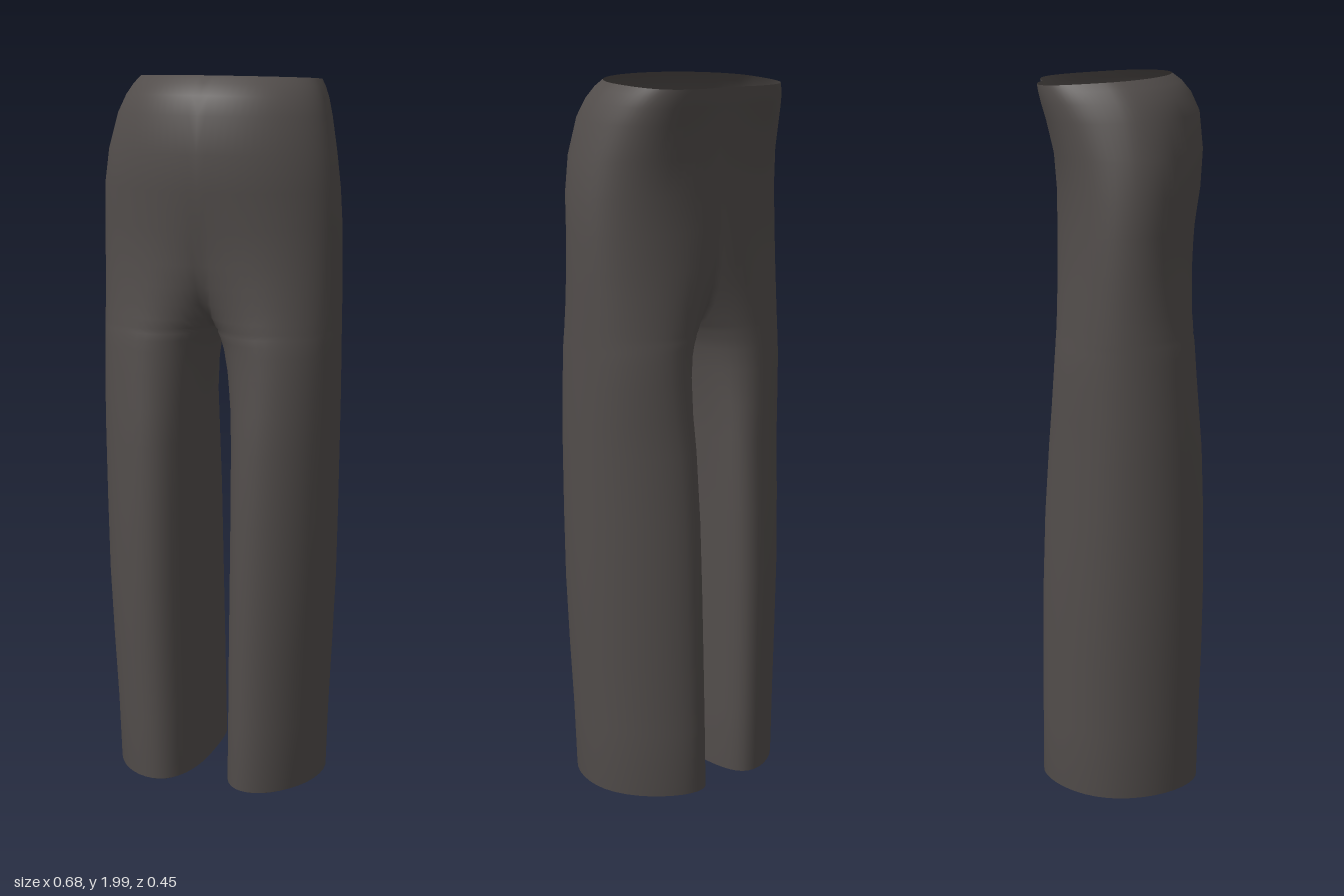
import * as THREE from 'three';
import { mergeVertices } from 'three/addons/utils/BufferGeometryUtils.js';

const SEG = 40;           // points around each half section (even)
const FRONT_SKEW = 0.22;  // how far the front and back fullness leans inward
const BACK_SKEW = 0.48;

// Half sections: y, outer x, inner x (below 0 = merged with the other leg), front z, back z
const SECTIONS = [
  // lining, tapering up inside the leg from the hem
  [0.45, 0.22, 0.097, 0.16, 0.01],
  [0.18, 0.255, 0.08, 0.18, -0.11],
  [0.03, 0.28, 0.062, 0.195, -0.185],
  [0.006, 0.292, 0.05, 0.205, -0.21],
  // leg
  [0.012, 0.306, 0.04, 0.216, -0.226],
  [0.2, 0.312, 0.043, 0.22, -0.225],
  [0.4, 0.322, 0.046, 0.226, -0.223],
  [0.6, 0.331, 0.049, 0.229, -0.22],
  [0.8, 0.335, 0.051, 0.227, -0.213],
  [1.0, 0.338, 0.05, 0.22, -0.2],
  [1.1, 0.339, 0.044, 0.212, -0.192],
  [1.2, 0.339, 0.032, 0.204, -0.185],
  [1.26, 0.339, 0.02, 0.2, -0.181],
  [1.29, 0.339, 0.01, 0.198, -0.179],
  // crotch
  [1.31, 0.339, 0, 0.196, -0.178],
  [1.325, 0.339, -0.009, 0.195, -0.177],
  [1.35, 0.339, -0.025, 0.193, -0.176],
  [1.39, 0.339, -0.054, 0.191, -0.175],
  [1.44, 0.339, -0.096, 0.191, -0.174],
  [1.5, 0.339, -0.155, 0.192, -0.174],
  // hips and waist
  [1.6, 0.338, -0.25, 0.199, -0.174],
  [1.7, 0.333, -0.315, 0.215, -0.175],
  [1.8, 0.319, -0.319, 0.221, -0.181],
  [1.9, 0.296, -0.296, 0.211, -0.2],
  [1.95, 0.278, -0.278, 0.188, -0.213],
  [1.98, 0.262, -0.262, 0.163, -0.22],
  [2.0, 0.247, -0.247, 0.136, -0.223],
];

// Angle at which a skewed section meets the middle plane
function middleAngle(cx, hx, skew) {
  const q = cx + skew;
  const root = Math.sqrt(Math.max(0, hx * hx + 4 * skew * q));
  return Math.acos(THREE.MathUtils.clamp(-2 * q / (hx + root), -1, 1));
}

// One half of the garment; side is +1 (left) or -1 (right)
function addHalf(side, positions, indices) {
  const { smoothstep } = THREE.MathUtils;
  const start = positions.length / 3;
  for (const [y, outer, inner, front, back] of SECTIONS) {
    const cx = (outer + inner) / 2, hx = (outer - inner) / 2;
    const cz = (front + back) / 2, hz = (front - back) / 2;
    // The lean eases off toward the crotch so the legs part in a round groove
    const lean = -hx * Math.min(1, cx / hx) * (1 - 0.6 * smoothstep(y, 0.9, 1.31));
    const frontSkew = lean * FRONT_SKEW;
    const backSkew = lean * BACK_SKEW + 0.1 * smoothstep(y, 1.5, 2);
    const tilt = 0.011 * smoothstep(y, 1.7, 2);
    for (let i = 0; i <= SEG; i++) {
      const u = 2 * i / SEG - 1;
      const skew = u < 0 ? frontSkew : backSkew;
      // Above the crotch the section stops at the middle plane
      const t = u * (inner < 0 ? middleAngle(cx, hx, skew) : Math.PI);
      const s = Math.sin(t);
      const atMiddle = inner <= 0 && (i === 0 || i === SEG);
      const x = atMiddle ? 0 : cx + hx * Math.cos(t) + skew * s * s;
      positions.push(side * x, y - tilt * (s + 1), cz - hz * s);
    }
  }
  for (let j = 0; j < SECTIONS.length - 1; j++) {
    for (let i = 0; i < SEG; i++) {
      const a = start + j * (SEG + 1) + i, b = a + 1;
      const d = a + SEG + 1, c = d + 1;
      if (side > 0) indices.push(a, b, c, a, c, d);
      else indices.push(a, c, b, a, d, c);
    }
  }
}

export function createModel() {
  const group = new THREE.Group();
  group.name = 'trousers';
  const cloth = new THREE.MeshStandardMaterial({ color: 0x524d4b, side: THREE.DoubleSide });
  cloth.name = 'charcoal cloth';

  const positions = [], indices = [];
  addHalf(1, positions, indices);
  addHalf(-1, positions, indices);
  let geometry = new THREE.BufferGeometry();
  geometry.setAttribute('position', new THREE.Float32BufferAttribute(positions, 3));
  geometry.setIndex(indices);
  // Weld the seams so the shading runs smoothly across them
  geometry = mergeVertices(geometry, 1e-5);
  geometry.computeVertexNormals();

  const mesh = new THREE.Mesh(geometry, cloth);
  mesh.name = 'trouserLegsAndWaist';
  group.add(mesh);
  return group;
}
